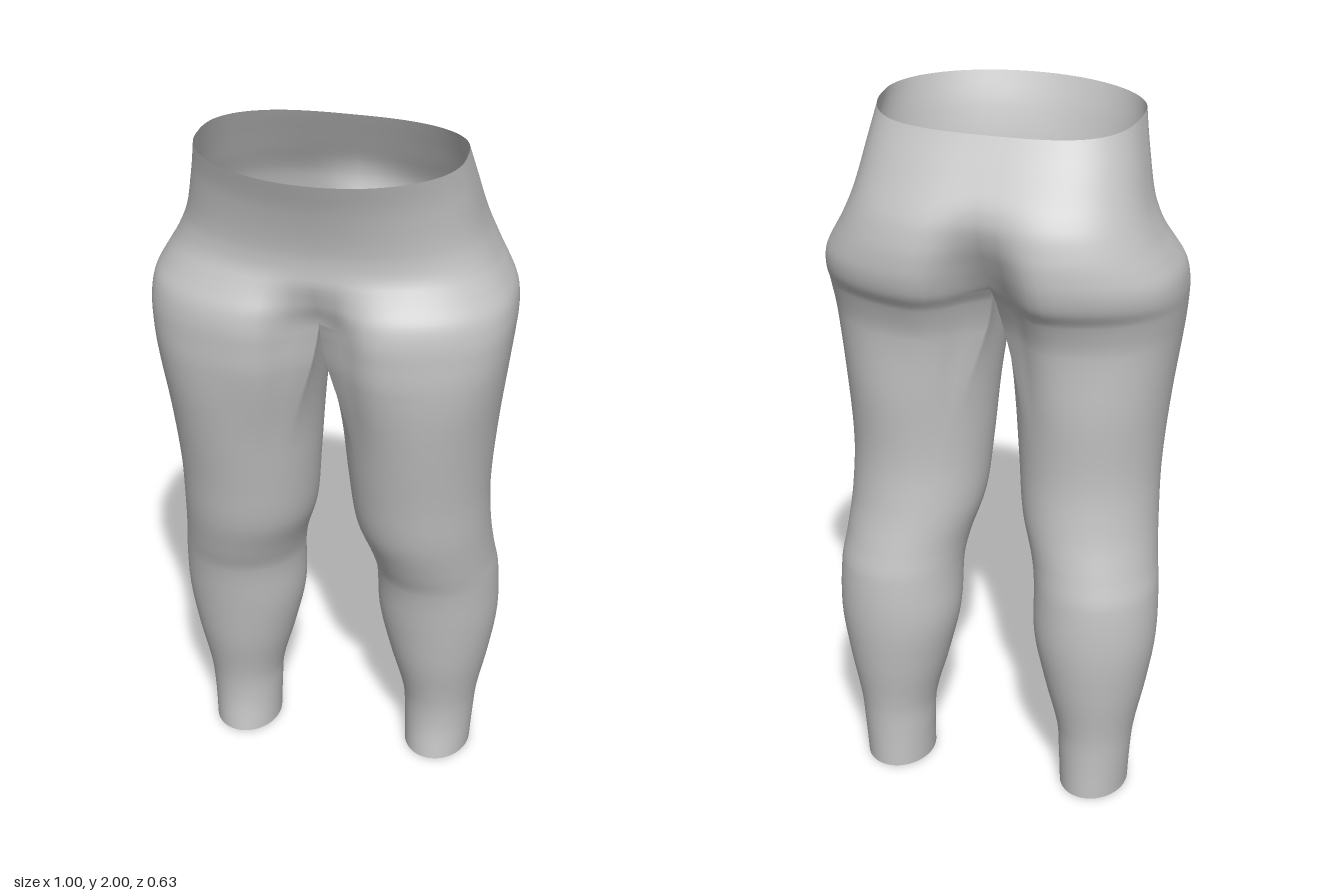
import * as THREE from 'three';
import { mergeVertices } from 'three/addons/utils/BufferGeometryUtils.js';

const { lerp, mapLinear, smoothstep } = THREE.MathUtils;

// Cross-section limits: height, outer x, front z, back z, inner x
const SECTIONS = [
  [0.00, 0.395, 0.015, -0.235, 0.200],
  [0.10, 0.402, 0.003, -0.235, 0.197],
  [0.20, 0.412, 0.010, -0.240, 0.190],
  [0.35, 0.443, 0.045, -0.264, 0.150],
  [0.50, 0.466, 0.072, -0.280, 0.117],
  [0.65, 0.465, 0.100, -0.275, 0.112],
  [0.73, 0.455, 0.130, -0.258, 0.098],
  [0.85, 0.446, 0.172, -0.232, 0.062],
  [1.00, 0.445, 0.202, -0.216, 0.046],
  [1.20, 0.462, 0.243, -0.226, 0.030],
  [1.40, 0.487, 0.282, -0.236, 0.010],
  [1.50, 0.498, 0.290, -0.268, 0.004],
  [1.55, 0.500, 0.290, -0.300, 0],
  [1.60, 0.492, 0.280, -0.315, 0],
  [1.65, 0.466, 0.257, -0.319, 0],
  [1.70, 0.438, 0.242, -0.316, 0],
  [1.78, 0.406, 0.243, -0.297, 0],
  [1.90, 0.380, 0.275, -0.242, 0],
  [2.00, 0.360, 0.315, -0.193, 0],
];
const LAST = SECTIONS.length - 1;
const OUTER = 44, INNER = 16, RING = OUTER + INNER;
const STEPS = 5, CROTCH = 12;

// Smooth interpolation between section s and s + 1
function sectionAt(s, t) {
  const a = SECTIONS[s], b = SECTIONS[s + 1];
  const p = SECTIONS[Math.max(0, s - 1)], q = SECTIONS[Math.min(LAST, s + 2)];
  const h = b[0] - a[0], t2 = t * t, t3 = t2 * t;
  return a.map((v, k) => {
    if (k === 0) return v + h * t;
    const m0 = (b[k] - p[k]) / (b[0] - p[0]) * h;
    const m1 = (q[k] - v) / (q[0] - a[0]) * h;
    return (2 * t3 - 3 * t2 + 1) * v + (t3 - 2 * t2 + t) * m0 + (3 * t2 - 2 * t3) * b[k] + (t3 - t2) * m1;
  });
}

// One ring: front, round the outer side to the back, then along the inner side
function ring([y, xo, zf, zb, inner], torso) {
  const xi = torso ? 0 : Math.max(0, inner);
  const zc = (zf + zb) / 2, rz = (zf - zb) / 2, xc = (xo + xi) / 2, rx = (xo - xi) / 2;
  // The round leg turns into half a torso towards the crotch
  const blend = smoothstep(y, 1.1, 1.55);
  const top = smoothstep(y, 1.65, 2);
  // Clefts on the centre line fade out up the belly and the seat
  const dipF = 0.115 * (1 - smoothstep(y, 1.53, 1.72));
  const dipB = 0.13 * (1 - smoothstep(y, 1.52, 1.85)) + 0.01 * (1 - top);
  const halfTorso = angle => {
    const c = Math.cos(angle);
    const n = c > 0 ? 2.5 - 0.5 * top : 2.5 + 0.4 * top;
    const x = xo * Math.pow(Math.abs(Math.sin(angle)), 2 / n);
    const dip = Math.exp(-((x / 0.1) ** 2)) * (c > 0 ? dipF : dipB);
    return [x, zc + Math.sign(c) * (rz * Math.pow(Math.abs(c), 2 / n) - dip)];
  };
  const pts = [];
  for (let j = 0; j < (torso ? OUTER + 1 : RING); j++) {
    const outer = j <= OUTER, u = outer ? j / OUTER : (j - OUTER) / INNER;
    const phi = outer ? Math.PI * (1.5 * u - 0.25) : Math.PI * (1.25 + u / 2);
    const [x, z] = outer ? halfTorso(u * Math.PI) : [0, lerp(zb + dipB, zf - dipF, u)];
    pts.push([lerp(xc + rx * Math.sin(phi), x, blend), lerp(zc + rz * Math.cos(phi), z, blend)]);
  }
  // Keep the blended outline within its section limits
  const xs = pts.map(p => p[0]), zs = pts.map(p => p[1]);
  const x0 = Math.min(...xs), x1 = Math.max(...xs), z0 = Math.min(...zs), z1 = Math.max(...zs);
  return pts.map(([px, pz]) => {
    const x = mapLinear(px, x0, x1, xi, xo), z = mapLinear(pz, z0, z1, zb, zf);
    // The waistline sits slightly lower at the back
    return [x, y - 0.015 * top * smoothstep(-z, -0.05, 0.2), z];
  });
}

function shellGeometry() {
  const pos = [], index = [];
  for (const side of [1, -1]) {
    let previous = -1;
    for (let r = 0; r <= LAST * STEPS; r++) {
      const s = Math.min(Math.floor(r / STEPS), LAST - 1);
      const torso = r > CROTCH * STEPS;
      const start = pos.length / 3;
      ring(sectionAt(s, r / STEPS - s), torso).forEach(([x, y, z]) => pos.push(side * x, y, z));
      if (previous >= 0) {
        for (let j = 0; j < (torso ? OUTER : RING); j++) {
          const k = (j + 1) % RING;
          const a = previous + j, b = previous + k, c = start + k, d = start + j;
          if (side > 0) index.push(a, b, c, a, c, d);
          else index.push(a, c, b, a, d, c);
        }
      }
      previous = start;
    }
  }
  const geometry = new THREE.BufferGeometry();
  geometry.setAttribute('position', new THREE.Float32BufferAttribute(pos, 3));
  geometry.setIndex(index);
  // Weld the two halves along the centre line
  const welded = mergeVertices(geometry, 1e-4);
  welded.computeVertexNormals();
  return welded;
}

export function createModel() {
  const group = new THREE.Group();
  group.name = 'leggings';
  const fabric = new THREE.MeshStandardMaterial({ color: 0xc4c4c4, side: THREE.DoubleSide });
  fabric.name = 'grey fabric';
  // Open shell: two legs joined at the crotch, open at waist and ankles
  const shell = new THREE.Mesh(shellGeometry(), fabric);
  shell.name = 'leggingsShell';
  group.add(shell);
  return group;
}
